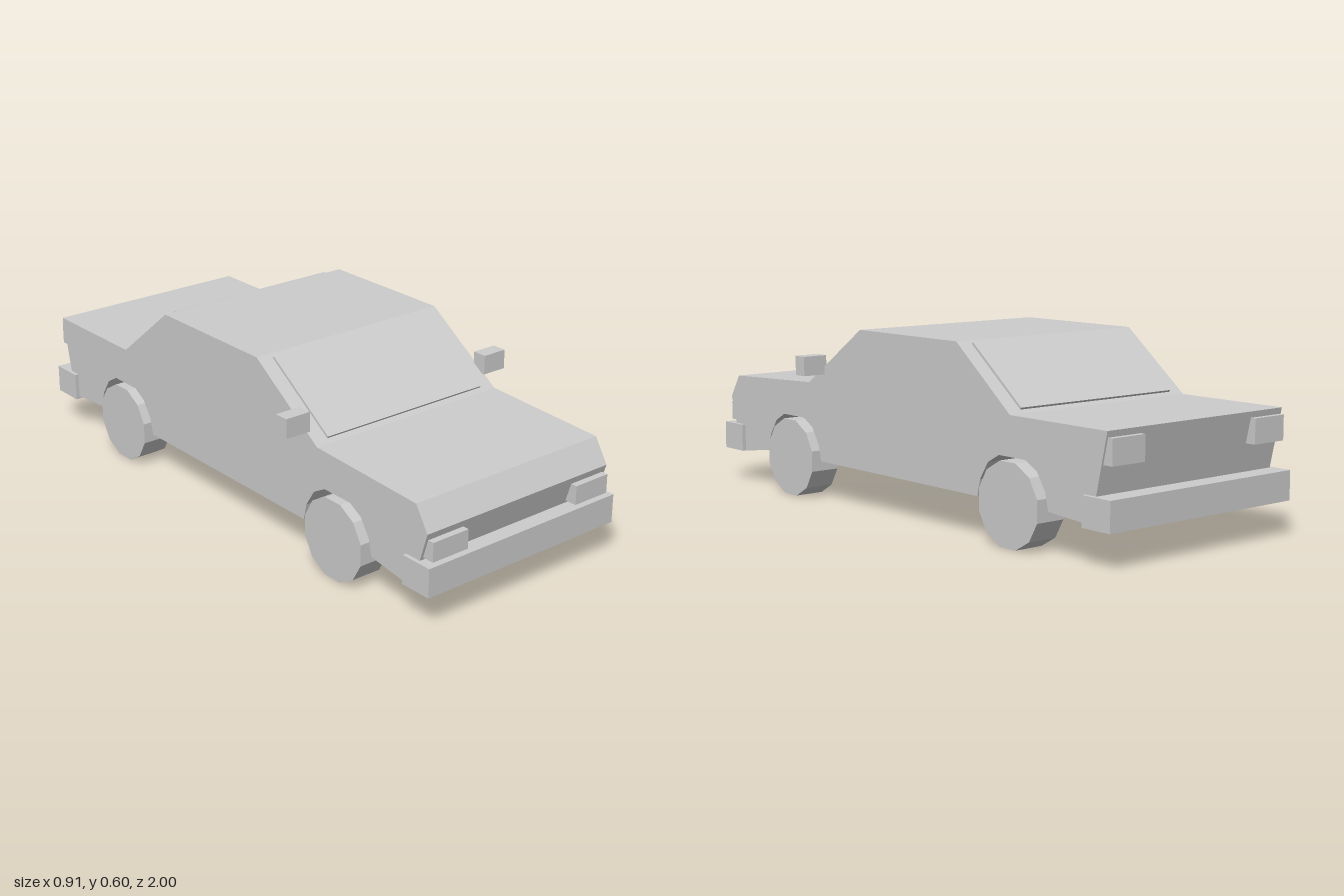
import * as THREE from 'three';

export function createModel() {
  const car = new THREE.Group();
  car.name = 'car';
  const paint = new THREE.MeshStandardMaterial({ color: 0xcccccc, flatShading: true });
  paint.name = 'light grey';

  const add = (name, geometry, x = 0, y = 0, z = 0) => {
    const mesh = new THREE.Mesh(geometry, paint);
    mesh.name = name;
    mesh.position.set(x, y, z);
    car.add(mesh);
    return mesh;
  };
  // Box given by its ranges
  const box = (name, [x0, x1], [y0, y1], [z0, z1]) =>
    add(name, new THREE.BoxGeometry(x1 - x0, y1 - y0, z1 - z0),
      (x0 + x1) / 2, (y0 + y1) / 2, (z0 + z1) / 2);

  const axles = [0.576, -0.57];
  const halfWidth = 0.372;

  // Body: side profile (z, y) with faceted wheel arches, extruded across the width
  const arch = [[-0.16, 0], [-0.147, 0.055], [-0.11, 0.112], [-0.06, 0.14],
    [0.06, 0.14], [0.11, 0.112], [0.147, 0.055], [0.16, 0]];
  const archAt = (z) => arch.map(([dz, dy]) => [z + dz, 0.134 + dy]);
  const profile = [
    [-0.91, 0.122], ...archAt(axles[1]), ...archAt(axles[0]), [0.915, 0.108],
    [0.975, 0.303], [0.925, 0.382], [0.48, 0.4], [0.185, 0.6],
    [-0.31, 0.6], [-0.56, 0.4], [-0.972, 0.4],
  ];
  const body = new THREE.ExtrudeGeometry(
    new THREE.Shape(profile.map(([z, y]) => new THREE.Vector2(z, y))),
    { depth: halfWidth * 2, bevelEnabled: false });
  body.translate(0, 0, -halfWidth).rotateY(-Math.PI / 2);
  add('body', body);

  // Window panels lying on the sloped screens
  const pane = (name, zLow, zHigh) => {
    const dz = zHigh - zLow, dy = 0.2;
    const length = Math.hypot(dz, dy);
    const mesh = add(name, new THREE.BoxGeometry(0.64, 0.009, length * 0.9),
      0, 0.5, (zLow + zHigh) / 2);
    mesh.rotation.x = Math.atan2(-dy, dz) + (dz < 0 ? Math.PI : 0);
    // Lift it out of the slope
    mesh.position.y += 0.003;
    mesh.position.z += Math.sign(zLow) * 0.002;
  };
  pane('windscreen', 0.48, 0.185);
  pane('rearWindow', -0.56, -0.31);

  // Bumpers
  box('frontBumper', [-0.385, 0.385], [0.113, 0.208], [0.888, 1]);
  box('rearBumper', [-0.385, 0.385], [0.113, 0.208], [-1, -0.885]);

  // Wheels: twelve sides, standing on a flat
  const wheel = new THREE.CylinderGeometry(0.136, 0.136, 0.105, 12);
  wheel.rotateY(Math.PI / 12).rotateZ(Math.PI / 2);

  for (const side of [-1, 1]) {
    const label = side > 0 ? 'left' : 'right';
    const span = (a, b) => (side > 0 ? [a, b] : [-b, -a]);
    add(label + 'FrontWheel', wheel, side * 0.337, 0.131, axles[0]);
    add(label + 'RearWheel', wheel, side * 0.337, 0.131, axles[1]);
    box(label + 'Mirror', span(0.365, 0.455), [0.435, 0.5], [0.388, 0.438]);
    box(label + 'Headlight', span(0.225, 0.362), [0.217, 0.28], [0.94, 0.99]);
    box(label + 'TailLight', span(0.235, 0.365), [0.3, 0.38], [-0.986, -0.945]);
  }

  // Cross bars at the top of the wheel arches
  for (const z of axles) box('archBar', [-0.33, 0.33], [0.263, 0.284], [z - 0.03, z + 0.03]);

  return car;
}
